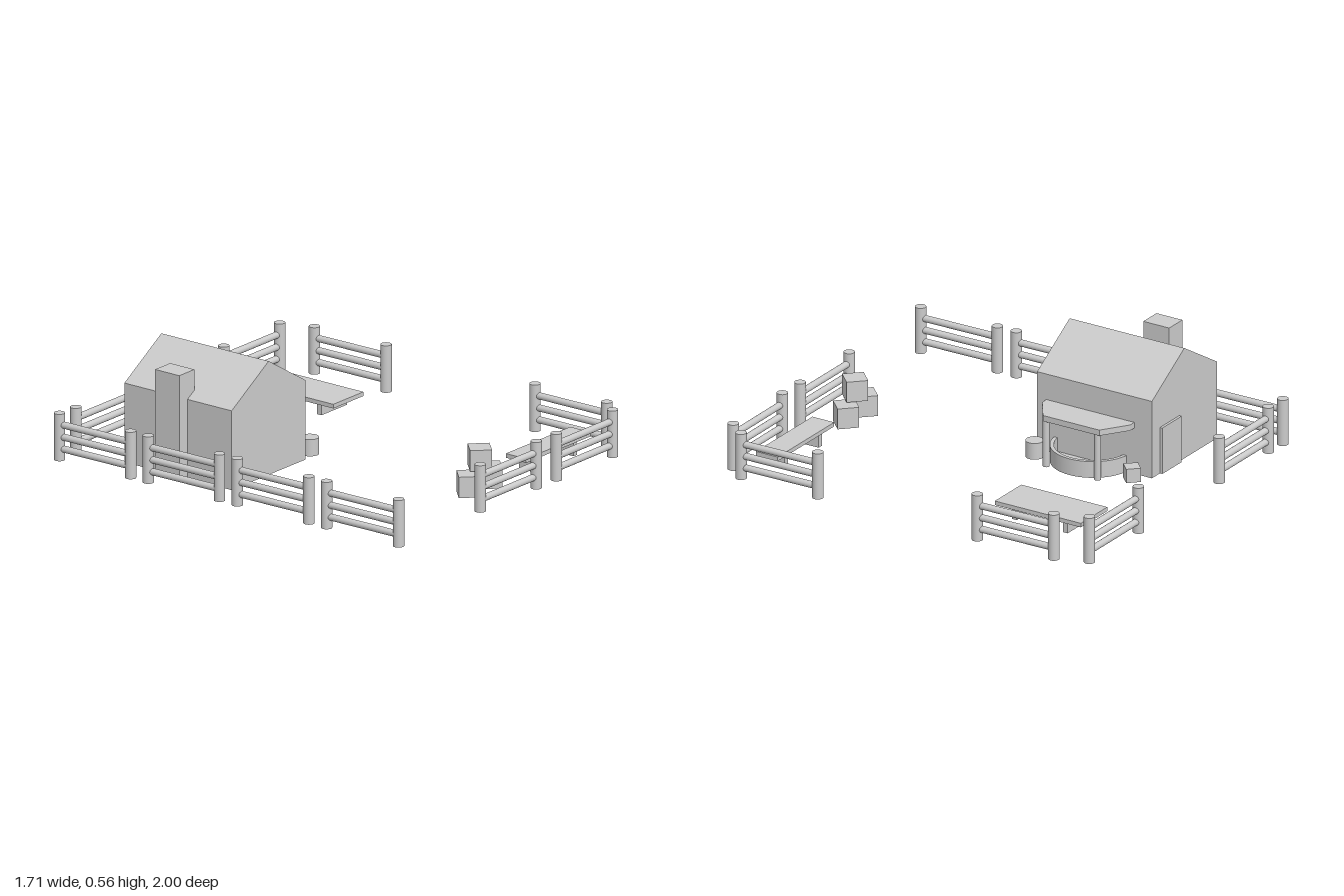
import * as THREE from 'three';
import { toCreasedNormals } from 'three/addons/utils/BufferGeometryUtils.js';

const material = new THREE.MeshStandardMaterial({ color: 0xcccccc });

function add(parent, name, geometry, x = 0, y = 0, z = 0) {
  const mesh = new THREE.Mesh(geometry, material);
  mesh.name = name;
  mesh.position.set(x, y, z);
  parent.add(mesh);
  return mesh;
}

// Box given by its extents on each axis
function block(parent, name, [x0, x1], [y0, y1], [z0, z1]) {
  return add(parent, name, new THREE.BoxGeometry(x1 - x0, y1 - y0, z1 - z0),
    (x0 + x1) / 2, (y0 + y1) / 2, (z0 + z1) / 2);
}

// Upright cylinder given by its bottom and top
function post(parent, name, x, z, r, y0, y1) {
  return add(parent, name, new THREE.CylinderGeometry(r, r, y1 - y0, 20), x, (y0 + y1) / 2, z);
}

// Plan outline (x, -z) raised to a slab
function slab(parent, name, shape, y0, y1) {
  const g = new THREE.ExtrudeGeometry(shape, { depth: y1 - y0, bevelEnabled: false, curveSegments: 32 });
  g.rotateX(-Math.PI / 2);
  return add(parent, name, toCreasedNormals(g, 0.5), 0, y0, 0);
}

function crate(parent, size, x, y, z) {
  add(parent, 'crate', new THREE.BoxGeometry(size, size, size), x, y + size / 2, z).rotation.y = Math.PI / 4;
}

// Two posts joined by three round rails
function fence(parent, x0, z0, x1, z1) {
  const group = new THREE.Group();
  group.name = 'fence';
  parent.add(group);
  post(group, 'fencePost', x0, z0, 0.026, 0, 0.225);
  post(group, 'fencePost', x1, z1, 0.026, 0, 0.225);
  const length = Math.hypot(x1 - x0, z1 - z0);
  for (const y of [0.055, 0.112, 0.17]) {
    const g = new THREE.CylinderGeometry(0.016, 0.016, length, 16).rotateZ(Math.PI / 2);
    const rail = add(group, 'fenceRail', g, (x0 + x1) / 2, y, (z0 + z1) / 2);
    rail.rotation.y = -Math.atan2(z1 - z0, x1 - x0);
  }
}

function createHouse(parent) {
  const house = new THREE.Group();
  house.name = 'house';
  parent.add(house);

  // Gabled body
  const gable = new THREE.Shape([[-0.7, 0.01], [-0.16, 0.01], [-0.16, 0.39], [-0.43, 0.555], [-0.7, 0.39]]
    .map(([x, y]) => new THREE.Vector2(x, y)));
  add(house, 'houseBody', new THREE.ExtrudeGeometry(gable, { depth: 0.62, bevelEnabled: false }), 0, 0, -0.7);
  block(house, 'chimney', [-0.76, -0.65], [0.01, 0.52], [-0.475, -0.335]);
  block(house, 'backDoor', [-0.387, -0.227], [0.01, 0.237], [-0.713, -0.69]);

  // Porch roof with cut corners, on two posts
  const awning = new THREE.Shape([[-0.17, 0.13], [-0.125, 0.13], [0, 0.215], [0, 0.52], [-0.125, 0.605], [-0.17, 0.605]]
    .map(([x, y]) => new THREE.Vector2(x, y)));
  slab(house, 'porchRoof', awning, 0.236, 0.264);
  for (const z of [-0.215, -0.493]) post(house, 'porchPost', -0.027, z, 0.016, 0.005, 0.24);

  // Round porch floor and low curved wall
  const cx = -0.185, cy = 0.367, r = 0.197, q = Math.PI / 2;
  const floor = new THREE.Shape();
  floor.absarc(cx, cy, r, -q, q, false);
  slab(house, 'porchFloor', floor, 0.01, 0.022);
  const wall = new THREE.Shape();
  wall.absarc(cx, cy, r, -q, q, false);
  wall.absarc(cx, cy, r - 0.018, q, -q, true);
  slab(house, 'porchWall', wall, 0.01, 0.09);

  // Barrel and crate beside the porch
  post(house, 'barrel', -0.082, -0.117, 0.042, 0.01, 0.09);
  crate(house, 0.068, -0.095, 0.012, -0.635);
}

export function createModel() {
  const model = new THREE.Group();
  model.name = 'farmyard';
  createHouse(model);

  // Fences around the yard
  const fences = [
    [-0.83, -0.972, -0.825, -0.565], [-0.825, -0.463, -0.82, -0.055],
    [-0.82, 0.048, -0.815, 0.458], [-0.815, 0.56, -0.81, 0.972],
    [-0.72, -0.965, -0.312, -0.965], [0.36, -0.965, 0.767, -0.965],
    [0.825, -0.81, 0.83, -0.4], [0.825, 0.465, 0.83, 0.876],
    [0.35, 0.965, 0.762, 0.963], [-0.203, 0.963, 0.206, 0.963],
  ];
  for (const f of fences) fence(model, ...f);

  // Low table along z
  block(model, 'tableTop', [0.357, 0.577], [0.06, 0.08], [-0.795, -0.33]);
  for (const z of [-0.7, -0.425]) block(model, 'tableLeg', [0.375, 0.56], [0.005, 0.06], [z - 0.013, z + 0.013]);

  // Bench along x
  block(model, 'benchSeat', [0.265, 0.735], [0.08, 0.1], [0.74, 0.858]);
  for (const x of [0.358, 0.642]) block(model, 'benchLeg', [x - 0.014, x + 0.014], [0.01, 0.08], [0.755, 0.843]);

  // Stacked crates
  crate(model, 0.1, -0.077, 0.01, 0.796);
  crate(model, 0.1, 0.08, 0.01, 0.796);
  crate(model, 0.1, 0.005, 0.115, 0.796);
  return model;
}
